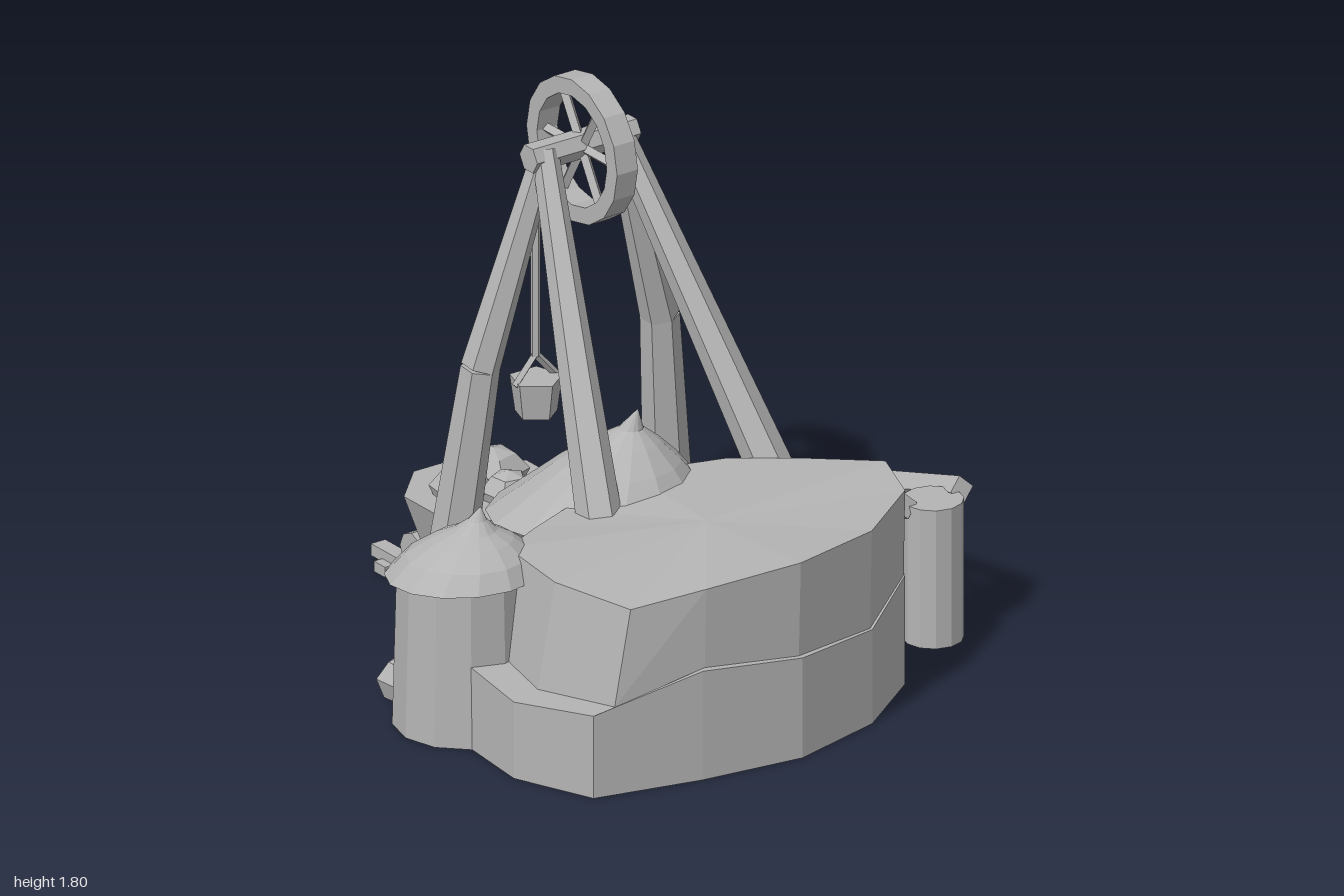
import * as THREE from 'three';

const stone = new THREE.MeshStandardMaterial({ color: 0xb4b4b4, flatShading: true, side: THREE.DoubleSide });
stone.name = 'plain grey';

const V = (x, y, z) => new THREE.Vector3(x, y, z);

function add(parent, name, geometry, x = 0, y = 0, z = 0) {
  const mesh = new THREE.Mesh(geometry, stone);
  mesh.name = name;
  mesh.position.set(x, y, z);
  parent.add(mesh);
  return mesh;
}

// Open-bottomed faceted drum
function drum(parent, name, x, z, top, bottom, height, sides) {
  const pts = [[bottom, 0], [top, height], [0, height]].map(p => new THREE.Vector2(...p));
  return add(parent, name, new THREE.LatheGeometry(pts, sides), x, 0, z);
}

// Tapered beam between two points
function beam(parent, name, a, b, ra, rb, sides = 6) {
  const dir = b.clone().sub(a);
  const mesh = add(parent, name, new THREE.CylinderGeometry(rb, ra, dir.length(), sides));
  mesh.position.copy(a).add(b).multiplyScalar(0.5);
  mesh.quaternion.setFromUnitVectors(V(0, 1, 0), dir.normalize());
  return mesh;
}

// Faceted band joining two rings of x, z, height points
function band(parent, name, low, high) {
  const pos = [];
  const at = p => [p[0], p[2], p[1]];
  low.forEach((p, i) => {
    const j = (i + 1) % low.length;
    const [a, b, c, d] = [p, low[j], high[i], high[j]].map(at);
    pos.push(...a, ...c, ...b, ...b, ...c, ...d);
  });
  const g = new THREE.BufferGeometry();
  g.setAttribute('position', new THREE.Float32BufferAttribute(pos, 3));
  g.computeVertexNormals();
  return add(parent, name, g);
}

// Five-sided lump of ore
function lump(parent, name, x, y, z, r, h, turn) {
  const pts = [[r * 0.75, 0], [r, h * 0.45], [r * 0.6, h * 0.85], [0, h]].map(p => new THREE.Vector2(...p));
  add(parent, name, new THREE.LatheGeometry(pts, 5), x, y, z).rotation.y = turn;
}

// Round hut with a domed roof whose tip leans and eave tilts, and an arched door at the back
function hut(parent, name, x, z, rWall, wallH, roof, lean, tilt, doorTurn) {
  const group = new THREE.Group();
  group.name = name;
  group.position.set(x, 0, z);
  parent.add(group);
  drum(group, 'hutWall', 0, 0, rWall * 0.94, rWall, wallH, 12);
  const y0 = roof[0][1], y1 = roof[roof.length - 1][1];
  const g = new THREE.LatheGeometry([[0, y0], ...roof].map(p => new THREE.Vector2(...p)), 14);
  const p = g.attributes.position;
  for (let i = 0; i < p.count; i++) {
    const t = (p.getY(i) - y0) / (y1 - y0);
    p.setY(i, p.getY(i) + tilt * p.getZ(i) * (1 - t));
    p.setX(i, p.getX(i) + lean[0] * t);
    p.setZ(i, p.getZ(i) + lean[1] * t);
  }
  add(group, 'hutRoof', g);
  const arch = new THREE.Shape();
  arch.moveTo(-0.07, 0);
  arch.lineTo(0.07, 0);
  arch.lineTo(0.07, 0.13);
  arch.lineTo(0.045, 0.19);
  arch.lineTo(0, 0.23);
  arch.lineTo(-0.045, 0.19);
  arch.lineTo(-0.07, 0.13);
  const door = new THREE.Group();
  door.name = 'hutDoor';
  door.rotation.y = Math.PI + doorTurn;
  group.add(door);
  add(door, 'doorPanel', new THREE.ExtrudeGeometry(arch, { depth: 0.05, bevelEnabled: false }), 0, 0, rWall - 0.04);
  add(door, 'doorKnob', new THREE.IcosahedronGeometry(0.01), 0.04, 0.12, rWall + 0.02);
}

export function createModel() {
  const model = new THREE.Group();
  model.name = 'mine';

  // Hollow two-step rock mound: points are x, z, height
  const lower = [[0.67, 0.49, 0.33], [0.54, 0.73, 0.37], [0.28, 0.915, 0.32], [-0.05, 1, 0.34],
    [-0.4, 0.955, 0.37], [-0.76, 0.87, 0.28], [-0.87, 0.6, 0.26], [-0.84, 0.29, 0.28], [-0.5, 0.08, 0.27],
    [-0.38, -0.03, 0.27], [0, -0.06, 0.28], [0.24, 0.06, 0.29], [0.48, 0.27, 0.3]];
  const upper = [[0.61, 0.53, 0.67], [0.54, 0.73, 0.66], [0.28, 0.912, 0.655], [-0.05, 0.99, 0.66],
    [-0.38, 0.945, 0.64], [-0.61, 0.86, 0.6], [-0.69, 0.57, 0.61], [-0.64, 0.25, 0.6], [-0.46, 0.155, 0.59],
    [-0.32, 0.1, 0.59], [-0.02, 0.04, 0.62], [0.28, 0.15, 0.63], [0.47, 0.32, 0.64]];
  const step = upper.map((p, i) => [p[0] * (p[0] < -0.5 ? 1.09 : 1), p[1] * 0.99, lower[i][2]]);
  band(model, 'lowerRock', lower.map(p => [p[0], p[1], 0]), lower);
  band(model, 'rockLedge', lower, step);
  band(model, 'upperRock', step, upper);
  band(model, 'rockTop', upper, upper.map(() => [-0.07, 0.52, 0.64]));

  // Huts
  hut(model, 'largeHut', -0.07, -0.035, 0.26, 0.5,
    [[0.365, 0.5], [0.28, 0.575], [0.2, 0.655], [0.11, 0.73], [0.04, 0.78], [0, 0.85]], [0.055, 0.115], 0.12, -0.3);
  hut(model, 'smallHut', -0.735, 0.15, 0.225, 0.52,
    [[0.25, 0.51], [0.2, 0.575], [0.13, 0.625], [0.07, 0.655], [0.03, 0.69], [0, 0.735]], [0.035, 0.04], 0.08, 0);
  lump(model, 'looseRock', -0.77, 0, -0.105, 0.095, 0.14, 0.4);
  lump(model, 'looseRock', -0.56, 0, -0.04, 0.078, 0.11, 1.2);

  // Headframe: straight front legs, bent rear legs, axle
  const cx = 0.08;
  const frame = new THREE.Group();
  frame.name = 'headframe';
  model.add(frame);
  for (const s of [-1, 1]) {
    const at = (x, y, z) => V(cx + s * x, y, z);
    beam(frame, 'frontLeg', at(0.375, 0.335, 0.33), at(0.14, 1.585, -0.35), 0.08, 0.042);
    const knee = at(0.345, 0.88, -0.41);
    beam(frame, 'rearLegLower', at(0.44, 0.02, -0.485), knee, 0.083, 0.063);
    beam(frame, 'rearLegUpper', knee, at(0.14, 1.585, -0.35), 0.063, 0.04);
  }
  add(frame, 'axle', new THREE.CylinderGeometry(0.047, 0.047, 0.4, 6), cx, 1.57, -0.355).rotation.z = Math.PI / 2;

  // Winding wheel with six spokes
  const wheel = new THREE.Group();
  wheel.name = 'windingWheel';
  wheel.position.set(0.077, 1.563, -0.342);
  wheel.rotation.y = Math.PI / 2;
  model.add(wheel);
  const rim = [[0.185, -0.04], [0.24, -0.04], [0.24, 0.04], [0.185, 0.04], [0.185, -0.04]];
  add(wheel, 'wheelRim', new THREE.LatheGeometry(rim.map(p => new THREE.Vector2(...p)), 16)).rotation.x = Math.PI / 2;
  for (let i = 0; i < 6; i++) {
    const a = i * Math.PI / 3;
    beam(wheel, 'wheelSpoke', V(0, 0, 0), V(Math.cos(a) * 0.2, Math.sin(a) * 0.2, 0), 0.018, 0.018, 4);
  }

  // Rope, handle and hanging bucket
  add(model, 'rope', new THREE.CylinderGeometry(0.017, 0.017, 0.81, 5), 0.08, 1.17, -0.593);
  for (const s of [-1, 1])
    beam(model, 'bucketHandle', V(0.08 + s * 0.08, 0.68, -0.593), V(0.08, 0.77, -0.593), 0.013, 0.013, 4);
  add(model, 'bucket', new THREE.CylinderGeometry(0.087, 0.07, 0.12, 5), 0.08, 0.63, -0.59);

  // Ore cart
  const cart = new THREE.Group();
  cart.name = 'oreCart';
  cart.position.set(-0.07, 0, -0.66);
  model.add(cart);
  add(cart, 'cartTub', new THREE.CylinderGeometry(0.256, 0.18, 0.22, 8), 0, 0.215, 0).rotation.y = Math.PI / 8;
  for (const [x, z, r, t] of [[-0.09, 0, 0.1, 0.2], [0.08, -0.06, 0.115, 0.9], [0.015, 0.11, 0.09, 1.7]])
    lump(cart, 'cartOre', x, 0.3, z, r, 0.125, t);
  for (const x of [-0.16, 0.16])
    for (const z of [-0.13, 0.13])
      add(cart, 'cartWheel', new THREE.CylinderGeometry(0.06, 0.06, 0.05, 8), x, 0.115, z).rotation.z = Math.PI / 2;

  // Track
  for (const x of [-0.23, 0.09])
    add(model, 'rail', new THREE.BoxGeometry(0.055, 0.04, 0.76), x, 0.045, -0.62);
  for (const z of [-0.91, -0.67, -0.43])
    add(model, 'railTie', new THREE.BoxGeometry(0.44, 0.035, 0.06), -0.07, 0.018, z);

  // Sluice: post, sloping side bars, water sheet and basin
  const sx = 0.825;
  drum(model, 'sluicePost', sx, 0.485, 0.098, 0.098, 0.47, 12);
  drum(model, 'basin', sx, -0.635, 0.165, 0.15, 0.11, 12);
  drum(model, 'basinInlet', sx, -0.485, 0.095, 0.095, 0.17, 12);
  for (const s of [-1, 1])
    beam(model, 'sluiceBar', V(sx + s * 0.108, 0.175, -0.48), V(sx + s * 0.108, 0.475, 0.49), 0.043, 0.043, 4);
  const water = new THREE.Shape();
  const half = t => 0.005 + 0.08 * Math.sin(Math.PI * t);
  water.moveTo(0.005, -0.48);
  for (let i = 1; i <= 8; i++) water.lineTo(half(i / 8), -0.48 + i * 0.12);
  for (let i = 8; i >= 0; i--) water.lineTo(-half(i / 8), -0.48 + i * 0.12);
  add(model, 'sluiceWater', new THREE.ShapeGeometry(water), sx, 0.32, 0).rotation.x = Math.PI / 2 - 0.29;

  return model;
}
